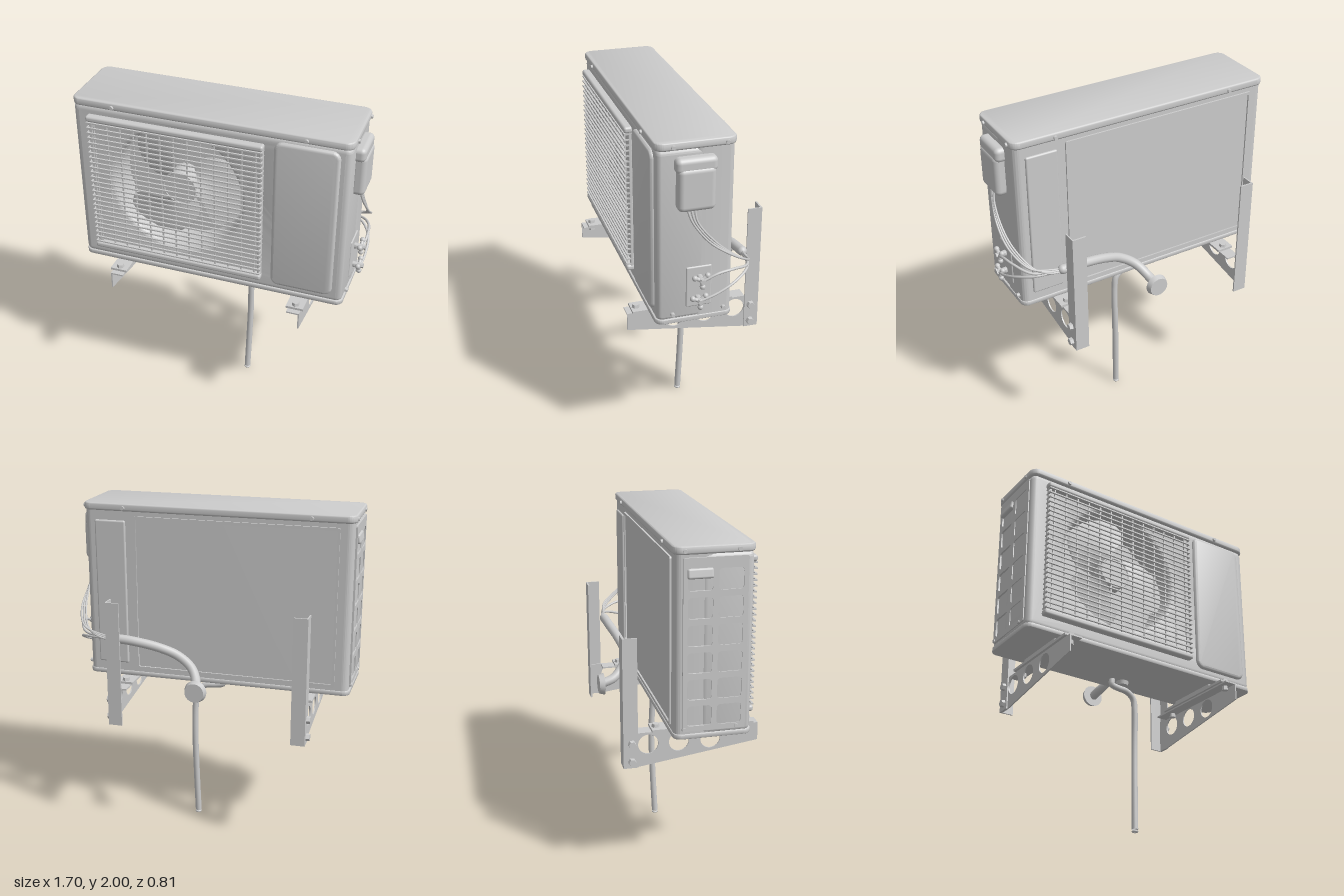
import * as THREE from 'three';
import { toCreasedNormals } from 'three/addons/utils/BufferGeometryUtils.js';
import { RoundedBoxGeometry } from 'three/addons/geometries/RoundedBoxGeometry.js';

const mat = new THREE.MeshStandardMaterial({ color: 0xcccccc });
const thin = new THREE.MeshStandardMaterial({ color: 0xcccccc, side: THREE.DoubleSide });
const CX = -0.02; // mid-plane of the cabinet

export function createModel() {
  const root = new THREE.Group();
  const add = (name, geo, x = 0, y = 0, z = 0, parent = root, m = mat) => {
    const mesh = new THREE.Mesh(geo, m);
    mesh.name = name;
    mesh.position.set(x, y, z);
    parent.add(mesh);
    return mesh;
  };
  const group = (name) => {
    const g = new THREE.Group();
    g.name = name;
    root.add(g);
    return g;
  };
  // box given by its limits on each axis
  const box = (name, x0, x1, y0, y1, z0, z1, r = 0, parent = root) => {
    const s = [x1 - x0, y1 - y0, z1 - z0];
    const geo = r ? new RoundedBoxGeometry(...s, 3, r) : new THREE.BoxGeometry(...s);
    return add(name, geo, (x0 + x1) / 2, (y0 + y1) / 2, (z0 + z1) / 2, parent);
  };
  const roundRect = (x0, x1, y0, y1, r, path = new THREE.Shape()) => {
    path.absarc(x1 - r, y0 + r, r, -Math.PI / 2, 0);
    path.absarc(x1 - r, y1 - r, r, 0, Math.PI / 2);
    path.absarc(x0 + r, y1 - r, r, Math.PI / 2, Math.PI);
    path.absarc(x0 + r, y0 + r, r, Math.PI, Math.PI * 1.5);
    path.closePath();
    return path;
  };
  const extrude = (shape, depth, bevel = 0, steps = 4) => toCreasedNormals(new THREE.ExtrudeGeometry(shape, {
    depth: depth - 2 * bevel, bevelEnabled: bevel > 0, bevelSize: bevel, bevelThickness: bevel,
    bevelSegments: steps, curveSegments: 20,
  }).translate(0, 0, bevel), 0.6);
  // plan outline raised from y0 to y1
  const slab = (name, x0, x1, z0, z1, y0, y1, r, b = 0) =>
    add(name, extrude(roundRect(x0 + b, x1 - b, -z1 + b, -z0 - b, r - b), y1 - y0, b).rotateX(-Math.PI / 2), 0, y0, 0);
  const tube = (name, pts, r, parent = root, seg = 40, sides = 10) =>
    add(name, new THREE.TubeGeometry(new THREE.CatmullRomCurve3(pts.map((p) => new THREE.Vector3(...p))), seg, r, sides), 0, 0, 0, parent, thin);
  const bolt = (name, axis, r, h, x, y, z, parent = root, sides = 12) => {
    const geo = new THREE.CylinderGeometry(r * 0.85, r, h, sides);
    if (axis === 'x') geo.rotateZ(-Math.PI / 2);
    if (axis === 'z') geo.rotateX(Math.PI / 2);
    return add(name, toCreasedNormals(geo, 0.6), x, y, z, parent);
  };

  // cabinet: rear housing, front shell with the fan opening, lid and base pan
  slab('rearHousing', -0.82, 0.785, -0.14, 0.08, 0.95, 1.96, 0.04);
  const front = roundRect(-0.79, 0.75, 0.985, 1.93, 0.005);
  front.holes.push(new THREE.Path().absarc(-0.21, 1.5, 0.42, 0, Math.PI * 2, true));
  add('frontShell', extrude(front, 0.285, 0.035, 6), 0, 0, 0);
  slab('lid', -0.83, 0.795, -0.15, 0.295, 1.955, 2, 0.05, 0.012);
  slab('basePan', -0.828, 0.79, -0.145, 0.292, 0.94, 0.968, 0.045, 0.004);
  add('frontRaisedPanel', extrude(roundRect(0.38, 0.71, 1.02, 1.92, 0.03), 0.045, 0.018), 0, 0, 0.26);

  // screws around lid and base
  for (const x of [-0.58, 0.54]) {
    bolt('lidScrew', 'z', 0.013, 0.016, x, 1.975, 0.298);
    bolt('lidScrew', 'z', 0.013, 0.016, x, 1.975, -0.153).rotation.y = Math.PI;
  }
  for (const z of [0.2, -0.09]) for (const y of [0.997, 1.975]) {
    bolt('sideScrew', 'x', 0.013, 0.018, 0.796, y, z);
    bolt('sideScrew', 'x', 0.013, 0.012, -0.83, y, z).rotation.y = Math.PI;
  }

  // rear coil panel inside a thin lipped frame
  const rear = roundRect(-0.74, 0.48, 0.99, 1.93, 0.01);
  rear.holes.push(roundRect(-0.725, 0.465, 1.005, 1.912, 0.005, new THREE.Path()));
  add('rearFrame', extrude(rear, 0.014), 0, 0, -0.15);
  box('rearCornerPanel', 0.53, 0.72, 1.02, 1.9, -0.152, -0.12, 0.01);

  // louvred end plate: two columns of six openings
  const vents = roundRect(-0.1, 0.25, 0.985, 1.94, 0.01);
  for (let i = 0; i < 6; i++) for (const u of [-0.075, 0.09]) {
    const y = 1.015 + i * 0.15;
    vents.holes.push(roundRect(u, u + 0.135, y, y + 0.115, 0.02, new THREE.Path()));
  }
  add('ventPlate', extrude(vents, 0.012).rotateY(-Math.PI / 2), -0.819, 0, 0);
  const handle = box('gripHandle', -0.845, -0.815, 1.83, 1.885, -0.08, 0.06, 0.012);
  handle.rotation.z = -0.2;

  // fan: hub and three swept blades
  const fan = group('fan');
  fan.position.set(-0.21, 1.5, 0.18);
  add('fanHub', toCreasedNormals(new THREE.CylinderGeometry(0.095, 0.1, 0.12, 40).rotateX(Math.PI / 2), 0.6), 0, 0, 0, fan);
  add('hubRim', new THREE.TorusGeometry(0.097, 0.006, 8, 40), 0, 0, 0.058, fan);
  for (let k = 0; k < 3; k++) {
    const geo = new THREE.PlaneGeometry(1, 1, 14, 14);
    const p = geo.attributes.position;
    for (let i = 0; i < p.count; i++) {
      const u = p.getX(i) + 0.5, v = p.getY(i);
      const r = 0.085 + u * 0.29 - 0.09 * u * Math.pow(Math.abs(2 * v), 4);
      const a = 0.45 - 0.5 * u + v * (1.1 + 0.5 * Math.sin(u * Math.PI * 0.8)) + k * Math.PI * 2 / 3;
      p.setXYZ(i, r * Math.cos(a), r * Math.sin(a), -v * 0.1 + 0.01);
    }
    geo.computeVertexNormals();
    add('fanBlade', geo, 0, 0, 0, fan, thin);
  }

  // protective grille
  const grille = group('grille');
  for (const y of [1.045, 1.895]) box('grilleRail', -0.735, 0.31, y - 0.018, y + 0.018, 0.28, 0.33, 0.014, grille);
  for (const x of [-0.715, 0.295]) box('grilleSideRail', x - 0.012, x + 0.012, 1.04, 1.9, 0.285, 0.305, 0.006, grille);
  for (let i = 0; i < 26; i++) {
    const y = 1.072 + i * 0.032;
    box('grilleWire', -0.73, 0.307, y - 0.004, y + 0.004, 0.32, 0.33, 0, grille);
    for (const x of [-0.726, 0.303]) box('grilleWireEnd', x - 0.004, x + 0.004, y - 0.004, y + 0.004, 0.28, 0.325, 0, grille);
  }
  for (let i = 0; i < 13; i++) {
    const x = -0.69 + i * 0.08;
    box('grilleUpright', x - 0.004, x + 0.004, 1.04, 1.9, 0.312, 0.32, 0, grille);
  }

  // electrical cover on the end wall
  const cover = group('wiringCover');
  box('coverBody', 0.76, 0.845, 1.625, 1.87, -0.02, 0.185, 0.03, cover);
  box('coverHood', 0.76, 0.838, 1.835, 1.92, -0.03, 0.195, 0.028, cover);
  bolt('coverScrew', 'x', 0.012, 0.03, 0.8, 1.63, 0.05, cover);

  // service valves on their mounting plate
  box('valvePlate', 0.77, 0.792, 1.03, 1.275, -0.02, 0.125, 0.008);
  for (const [y, z] of [[1.21, 0.05], [1.085, 0.06]]) {
    const valve = group('serviceValve');
    valve.position.set(0.79, y, z);
    bolt('valveStem', 'x', 0.018, 0.06, 0.025, 0, 0, valve);
    for (let k = 0; k < 3; k++) {
      const a = 0.4 + k * Math.PI * 2 / 3, c = Math.cos(a), s = Math.sin(a);
      tube('valveArm', [[0.04, 0, 0], [0.04, 0.02 * s, 0.02 * c], [0.04, 0.04 * s, 0.04 * c]], 0.011, valve, 4);
      add('valveCap', new THREE.SphereGeometry(0.016, 12, 8), 0.04, 0.042 * s, 0.042 * c, valve);
    }
    bolt('valveNut', 'x', 0.017, 0.025, 0.053, 0, 0, valve, 6);
  }

  // cables and refrigerant lines gathered behind the cabinet
  const lines = group('linesAndCables');
  for (let i = 0; i < 3; i++) {
    const d = (i - 1) * 0.014;
    tube('cable', [[0.81, 1.64, 0.11 + d * 1.5], [0.825, 1.56, 0.09 + d], [0.838 + d / 2, 1.44, 0 + d], [0.825 + d, 1.34, -0.12],
      [0.76 + d, 1.255 + d / 2, -0.235], [0.66, 1.22 + d / 2, -0.265 + d / 2], [0.55, 1.21 + d / 2, -0.27]], 0.006, lines, 50, 8);
  }
  tube('upperLine', [[0.84, 1.21, 0.04], [0.845, 1.245, -0.04], [0.83, 1.25, -0.13], [0.76, 1.225, -0.235], [0.55, 1.215, -0.268]], 0.008, lines);
  tube('lowerLine', [[0.84, 1.09, 0.05], [0.845, 1.12, -0.03], [0.83, 1.17, -0.14], [0.75, 1.205, -0.24], [0.55, 1.205, -0.268]], 0.008, lines);
  tube('wrappedPipe', [[0.59, 1.215, -0.268], [0.45, 1.2, -0.255], [0.3, 1.165, -0.23], [0.19, 1.12, -0.215], [0.1, 1.06, -0.24],
    [0.05, 0.995, -0.31], [0.04, 0.967, -0.39]], 0.028, lines, 50, 14);
  add('pipeEndCap', new THREE.SphereGeometry(0.028, 14, 10), 0.59, 1.215, -0.268, lines);
  bolt('wallCollar', 'z', 0.067, 0.032, 0.035, 0.967, -0.39, lines, 32).rotation.y = Math.PI;

  // drain elbow and hose
  bolt('drainSpout', 'y', 0.04, 0.03, 0.035, 0.93, -0.04, root, 20).rotation.x = Math.PI;
  tube('drainHose', [[-0.04, 0.945, -0.04], [-0.042, 0.905, -0.04], [0, 0.893, -0.04], [0.07, 0.885, -0.042], [0.118, 0.85, -0.045],
    [0.132, 0.77, -0.048], [0.135, 0.55, -0.056], [0.13, 0.3, -0.05], [0.123, 0.02, -0.038]], 0.019, root, 70, 14);
  add('hoseEnd', new THREE.TorusGeometry(0.014, 0.006, 8, 16).rotateX(Math.PI / 2), 0.123, 0.008, -0.038);

  // wall brackets, mirrored about the cabinet centre
  const web = new THREE.Shape([[0.4, 0.905], [-0.37, 0.905], [-0.37, 0.7], [-0.3, 0.7], [0.4, 0.8]].map((p) => new THREE.Vector2(...p)));
  for (const z of [0.12, -0.063, -0.24]) web.holes.push(new THREE.Path().absarc(z, 0.835, 0.058, 0, Math.PI * 2, true));
  for (const s of [-1, 1]) {
    const b = group(s < 0 ? 'rightBracket' : 'leftBracket');
    b.position.x = CX + s * 0.555;
    const side = (name, a, c, ...rest) => box(name, Math.min(s * a, s * c), Math.max(s * a, s * c), ...rest, 0, b);
    add('armWeb', extrude(web, 0.008).rotateY(-Math.PI / 2), s * 0.034 + 0.004, 0, 0, b);
    side('armFlange', 0.038, -0.04, 0.897, 0.906, -0.3, 0.4);
    side('postSide', 0.046, 0.038, 0.7, 1.465, -0.375, -0.3);
    side('postBack', 0.046, -0.038, 0.7, 1.465, -0.383, -0.373);
    for (const y of [0.74, 0.848]) {
      bolt('postBolt', 'x', 0.024, 0.022, s * 0.056, y, -0.335, b, 6).rotation.y = s < 0 ? Math.PI : 0;
    }
    // cabinet foot with its hold-down bolts
    side('foot', 0.052, -0.052, 0.908, 0.922, -0.22, 0.37);
    side('footRiser', 0.045, -0.045, 0.92, 0.945, -0.1, 0.24);
    for (const z of [0.34, -0.19]) {
      bolt('footBolt', 'y', 0.024, 0.022, 0, 0.93, z, b, 6);
      bolt('footNut', 'y', 0.02, 0.03, 0, 0.885, z, b, 6);
    }
  }
  return root;
}
